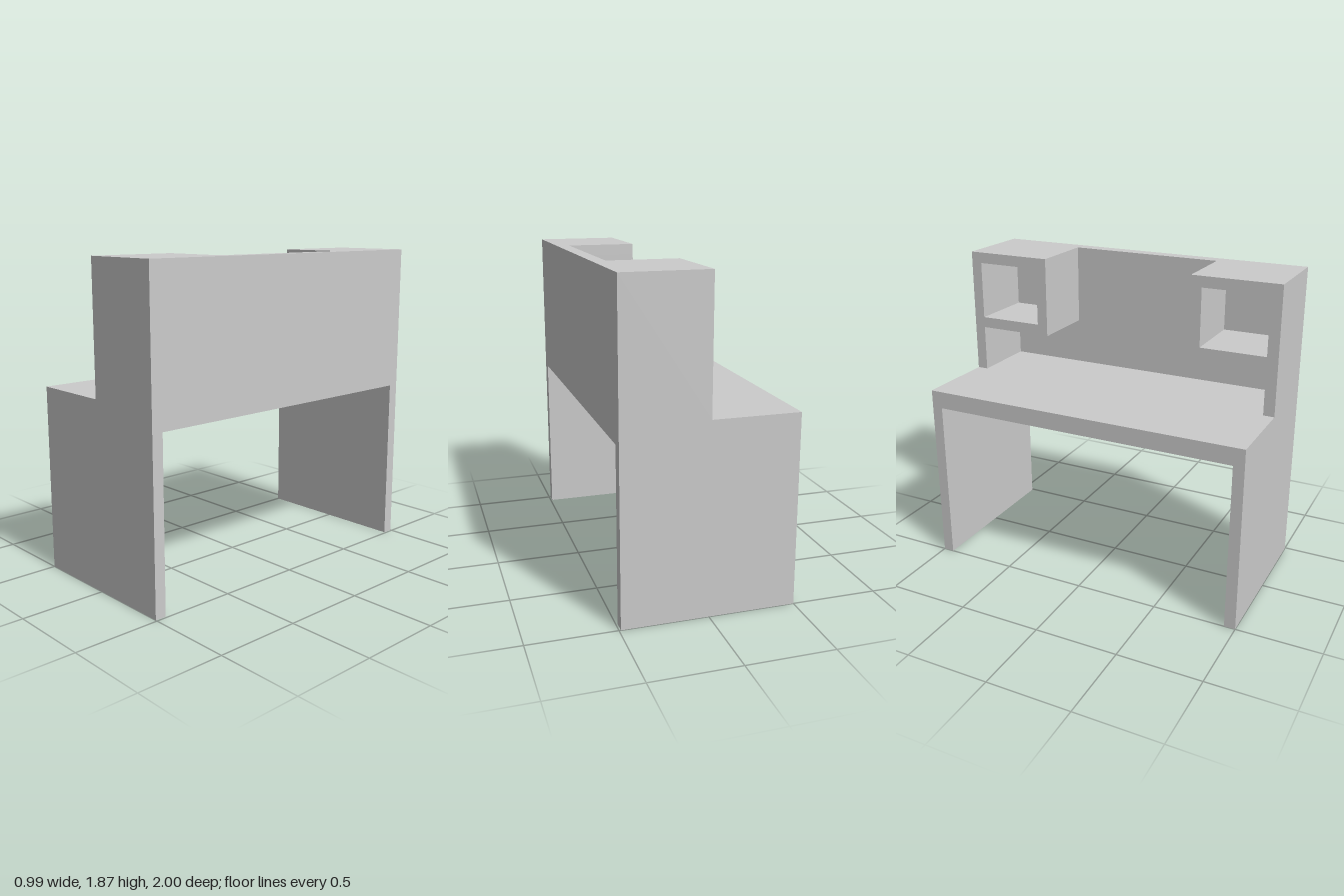
import * as THREE from 'three';

const material = new THREE.MeshStandardMaterial({ color: 0xcccccc, flatShading: true });

const T = 0.066;                                 // board thickness
const FRONT = -0.5, STEP = 0, BACK = 0.49;       // extents along x
const DESK_LOW = 1.0, DESK_TOP = 1.105, TOP = 1.865;
const BACK_INNER = 0.412;                        // inner face of the back panel
const BOX_LOW = 1.385, BOX_INNER = 0.47;         // cubby underside and inner side

// Box given by its minimum and maximum corners
function board(name, [x0, y0, z0], [x1, y1, z1]) {
  const geometry = new THREE.BoxGeometry(x1 - x0, y1 - y0, z1 - z0);
  geometry.translate((x0 + x1) / 2, (y0 + y1) / 2, (z0 + z1) / 2);
  const mesh = new THREE.Mesh(geometry, material);
  mesh.name = name;
  return mesh;
}

// Stepped side panel: leg below, tall cubby side above
function sidePanel(z) {
  const shape = new THREE.Shape([
    [FRONT, 0], [BACK, 0], [BACK, TOP], [STEP, TOP], [STEP, DESK_TOP], [FRONT, DESK_TOP],
  ].map(([x, y]) => new THREE.Vector2(x, y)));
  const geometry = new THREE.ExtrudeGeometry(shape, { depth: T, bevelEnabled: false });
  const mesh = new THREE.Mesh(geometry.translate(0, 0, z), material);
  mesh.name = 'sidePanel';
  return mesh;
}

// Open-fronted cubby hung between the side panel and the back panel
function cubby(side) {
  const group = new THREE.Group();
  group.name = side > 0 ? 'frontCubby' : 'rearCubby';
  const span = (a, b) => (side > 0 ? [a, b] : [-b, -a]);
  const [z0, z1] = span(BOX_INNER, 1 - T);
  const [w0, w1] = span(BOX_INNER, BOX_INNER + T);
  group.add(
    board('cubbyTop', [STEP, TOP - T, z0], [BACK_INNER, TOP, z1]),
    board('cubbyShelf', [STEP, BOX_LOW, z0], [BACK_INNER, BOX_LOW + T, z1]),
    board('cubbyWall', [STEP, BOX_LOW + T, w0], [BACK_INNER, TOP - T, w1]),
  );
  return group;
}

export function createModel() {
  const desk = new THREE.Group();
  desk.name = 'desk';
  const inner = 1 - T;
  desk.add(
    board('deskTop', [FRONT, DESK_LOW, -inner], [BACK, DESK_TOP, inner]),
    board('backPanel', [BACK_INNER, DESK_TOP, -inner], [BACK, TOP, inner]),
    sidePanel(inner),
    sidePanel(-1),
    cubby(1),
    cubby(-1),
  );
  return desk;
}
